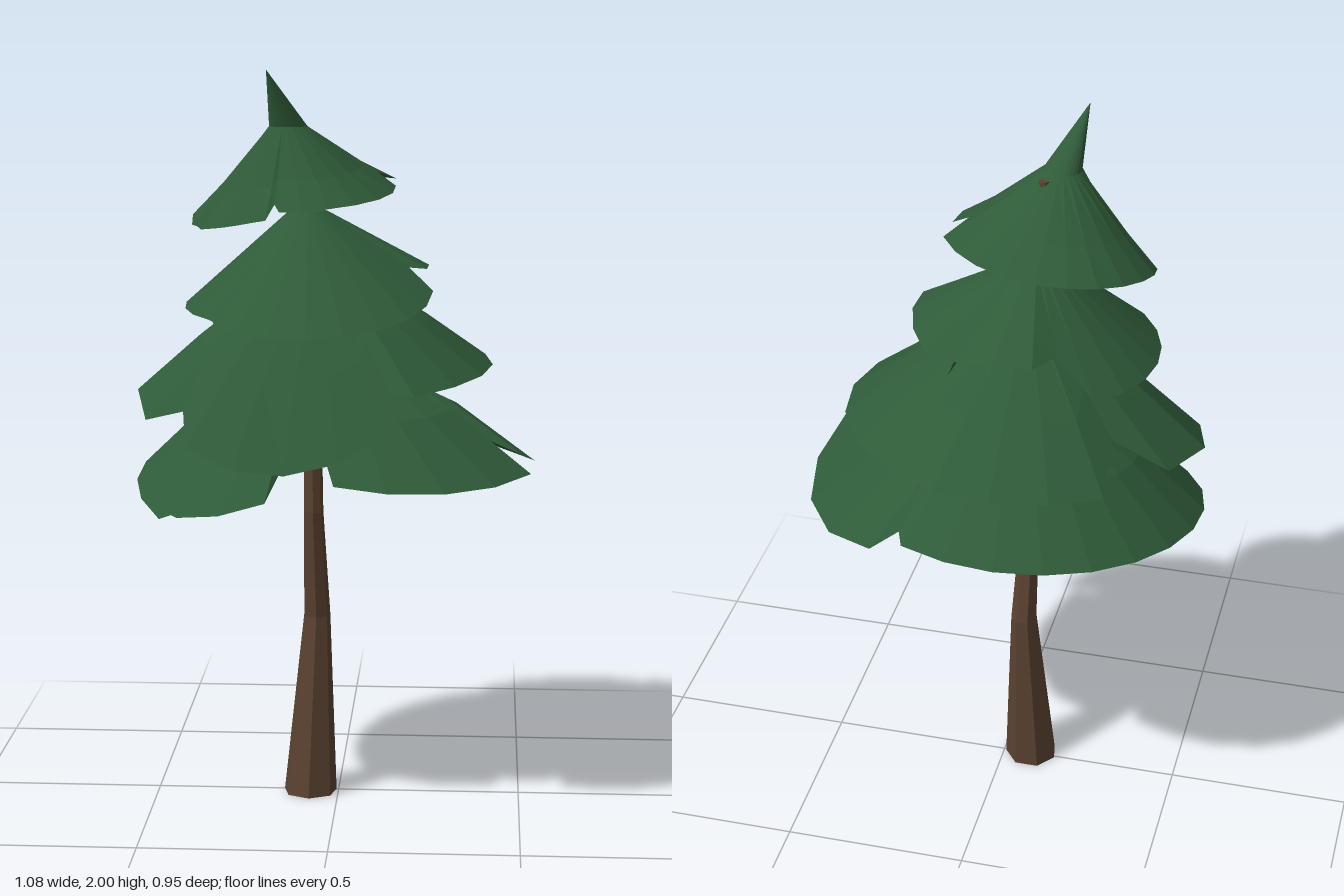
import * as THREE from 'three';

const leaf = new THREE.MeshStandardMaterial({ color: 0x2f5b39, side: THREE.DoubleSide, flatShading: true });
leaf.name = 'needle green';
const bark = new THREE.MeshStandardMaterial({ color: 0x5a4230, flatShading: true });
bark.name = 'bark brown';

// Skins a stack of equal-length rings; the rings run from top to bottom
function skin(rings, material, name) {
  const n = rings[0].length, index = [];
  for (let k = 0; k < rings.length - 1; k++) {
    for (let i = 0; i < n; i++) {
      const a = k * n + i, b = k * n + (i + 1) % n;
      index.push(a, a + n, b + n, a, b + n, b);
    }
  }
  const indexed = new THREE.BufferGeometry();
  indexed.setAttribute('position', new THREE.Float32BufferAttribute(rings.flat(2), 3));
  indexed.setIndex(index);
  const geometry = indexed.toNonIndexed();
  geometry.computeVertexNormals();
  const mesh = new THREE.Mesh(geometry, material);
  mesh.name = name;
  return mesh;
}

// Point at an angle (degrees from the front towards +x) around a centre
function polar([cx, , cz], degrees, radius, y) {
  const a = THREE.MathUtils.degToRad(degrees);
  return [cx + Math.sin(a) * radius, y, cz + Math.cos(a) * radius];
}

// Smooth value through a start, middle and end
const blend = (s, m, e, t) => s * (1 - t) * (1 - 2 * t) + m * 4 * t * (1 - t) + e * t * (2 * t - 1);

// One tier of drooping branches: tip, small collar, middle ring arched by lift and a rim of lobes.
// Each lobe: start and end angle, three radii, three heights, radius of the notch after it.
function tier(name, collar, tip, lift, lobes) {
  const rim = [], neck = [];
  const add = (angle, radius, y) => {
    rim.push(polar(collar, angle, radius, y));
    neck.push(polar(collar, angle, 0.05, collar[1]));
  };
  lobes.forEach(([start, end, r0, r1, r2, y0, y1, y2, notch], i) => {
    const steps = 2 * Math.max(1, Math.round((end - start) / 32));
    for (let s = 0; s <= steps; s++) {
      const t = s / steps;
      add(start + (end - start) * t, blend(r0, r1, r2, t), blend(y0, y1, y2, t));
    }
    // The notch lies on the mean slope of the lobes on either side
    const next = lobes[(i + 1) % lobes.length];
    const nextStart = next[0] + (i + 1 < lobes.length ? 0 : 360);
    const slope = ((y2 - collar[1]) / r2 + (next[5] - collar[1]) / next[2]) / 2;
    add((end + nextStart) / 2, notch, collar[1] + slope * notch);
  });
  const middle = rim.map((p, i) => p.map((v, axis) =>
    THREE.MathUtils.lerp(neck[i][axis], v, 0.6) + (axis === 1 ? lift : 0)));
  return skin([rim.map(() => tip), neck, middle, rim], leaf, name);
}

// Bent seven-sided trunk: x, y, z and radius from top to base, closed at both ends
function trunk() {
  const sections = [
    [-0.09, 1.84, 0.06, 0], [-0.09, 1.84, 0.06, 0.014], [-0.07, 1.25, 0.015, 0.022],
    [-0.067, 0.8, 0.025, 0.027], [-0.06, 0.5, -0.01, 0.037], [-0.078, 0, 0.012, 0.074], [-0.078, 0, 0.012, 0],
  ];
  const rings = sections.map(([x, y, z, r]) =>
    Array.from({ length: 7 }, (_, i) => polar([x, y, z], i * 360 / 7, r, y)));
  return skin(rings, bark, 'trunk');
}

export function createModel() {
  const tree = new THREE.Group();
  tree.name = 'pineTree';
  tree.add(trunk());

  tree.add(tier('lowestBranches', [-0.05, 1.25, 0.01], [-0.05, 1.26, 0.01], 0.035, [
    [8, 70, 0.45, 0.55, 0.605, 0.96, 0.94, 0.95, 0.43],
    [74, 144, 0.57, 0.58, 0.53, 0.99, 0.92, 0.96, 0.46],
    [153, 308, 0.49, 0.485, 0.51, 0.99, 0.95, 0.84, 0.49],
    [314, 345, 0.49, 0.47, 0.445, 0.85, 0.87, 0.91, 0.2],
  ]));
  tree.add(tier('lowerMiddleBranches', [-0.06, 1.49, 0.02], [-0.06, 1.5, 0.02], 0.01, [
    [-46, 30, 0.445, 0.412, 0.417, 1.03, 0.98, 1.08, 0.36],
    [42, 217, 0.41, 0.5, 0.48, 1.17, 1.21, 1.18, 0.35],
    [246, 292, 0.46, 0.485, 0.475, 1.16, 1.13, 1.08, 0.4],
  ]));
  tree.add(tier('upperMiddleBranches', [-0.08, 1.62, 0.03], [-0.08, 1.625, 0.03], 0, [
    [-142, -44, 0.355, 0.33, 0.345, 1.39, 1.37, 1.36, 0.345],
    [-40, 74, 0.35, 0.4, 0.35, 1.35, 1.34, 1.42, 0.277],
    [84, 148, 0.32, 0.33, 0.323, 1.47, 1.46, 1.41, 0.32],
    [152, 191, 0.32, 0.315, 0.31, 1.46, 1.48, 1.48, 0.255],
  ]));
  tree.add(tier('crown', [-0.125, 1.85, 0.12], [-0.175, 2, 0.21], -0.008, [
    [-4, 102, 0.165, 0.245, 0.286, 1.64, 1.66, 1.69, 0.244],
    [120, 270, 0.32, 0.31, 0.255, 1.7, 1.67, 1.59, 0.24],
    [276, 345, 0.23, 0.165, 0.18, 1.58, 1.6, 1.62, 0.15],
  ]));
  return tree;
}
